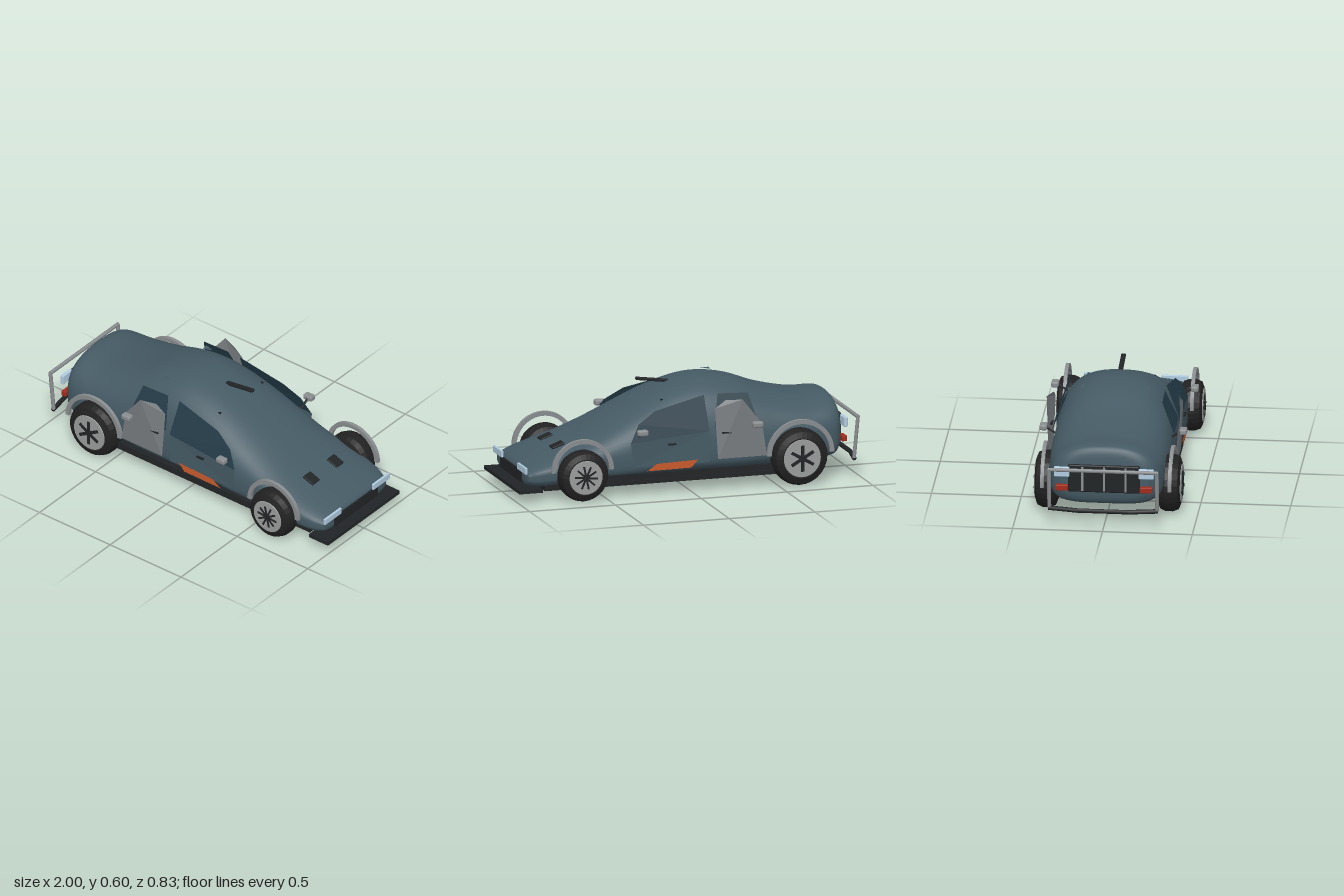
import * as THREE from 'three';
import { RoundedBoxGeometry } from 'three/addons/geometries/RoundedBoxGeometry.js';

const mat = (color, extra = {}) => new THREE.MeshStandardMaterial({ color, ...extra });
const PAINT = mat(0x455a64), BLACK = mat(0x212426), TRIM = mat(0x8a8d8f);
const RIM = mat(0x9a9c9c), TYRE = mat(0x212121, { flatShading: true }), LAMP = mat(0xb0cce0), RED = mat(0xa02c1c);
const sheet = (color) => mat(color, { side: THREE.DoubleSide, flatShading: true });
const PANEL = sheet(0x455a64), GLASS = sheet(0x243b47), GREY = sheet(0x7a7f82), ORANGE = sheet(0xc85a2c);

export function createModel() {
  const car = new THREE.Group();
  car.name = 'car';

  function add(name, geometry, material, x = 0, y = 0, z = 0, parent = car) {
    const mesh = new THREE.Mesh(geometry, material);
    mesh.name = name;
    mesh.position.set(x, y, z);
    parent.add(mesh);
    return mesh;
  }
  const box = (name, m, [w, h, d], [x, y, z], parent) => add(name, new THREE.BoxGeometry(w, h, d), m, x, y, z, parent);
  const rounded = (name, m, [w, h, d], [x, y, z], r, parent) =>
    add(name, new RoundedBoxGeometry(w, h, d, 2, r), m, x, y, z, parent);

  // Thin convex panel given by its corners, mirrored by side
  function panel(name, m, corners, side) {
    const g = new THREE.BufferGeometry();
    g.setAttribute('position', new THREE.Float32BufferAttribute(corners.flatMap(([x, y, z]) => [x, y, z * side]), 3));
    const index = [];
    for (let i = 1; i < corners.length - 1; i++) index.push(0, i, i + 1);
    g.setIndex(index);
    g.computeVertexNormals();
    add(name, g, m);
  }

  // Straight bar between two points
  function bar(name, m, from, to, r, sides = 8) {
    const a = new THREE.Vector3(...from), b = new THREE.Vector3(...to);
    const mesh = add(name, new THREE.CylinderGeometry(r, r, a.distanceTo(b), sides), m);
    mesh.position.addVectors(a, b).multiplyScalar(0.5);
    mesh.quaternion.setFromUnitVectors(new THREE.Vector3(0, 1, 0), b.sub(a).normalize());
  }

  // Smooth body shell lofted along x: [x, roof, underside, waist height, half width]
  const sections = [
    [-0.900, 0.27, 0.27, 0.27, 0],
    [-0.900, 0.37, 0.20, 0.27, 0.21],
    [-0.885, 0.44, 0.14, 0.27, 0.26],
    [-0.840, 0.464, 0.115, 0.26, 0.30],
    [-0.700, 0.465, 0.10, 0.25, 0.325],
    [-0.500, 0.51, 0.10, 0.24, 0.335],
    [-0.320, 0.575, 0.10, 0.22, 0.335],
    [-0.150, 0.60, 0.10, 0.22, 0.335],
    [0.000, 0.58, 0.10, 0.22, 0.335],
    [0.150, 0.53, 0.10, 0.22, 0.335],
    [0.300, 0.46, 0.09, 0.21, 0.335],
    [0.450, 0.385, 0.085, 0.20, 0.33],
    [0.600, 0.315, 0.08, 0.19, 0.33],
    [0.750, 0.26, 0.075, 0.17, 0.33],
    [0.850, 0.225, 0.07, 0.155, 0.315],
    [0.915, 0.195, 0.078, 0.145, 0.29],
    [0.942, 0.17, 0.10, 0.14, 0.25],
    [0.945, 0.14, 0.14, 0.14, 0],
  ];
  const spline = (f) => new THREE.CatmullRomCurve3(sections.map(f), false, 'catmullrom', 0.5);
  const heights = spline(([x, top, low]) => new THREE.Vector3(x, top, low));
  const widths = spline(([x, , , mid, half]) => new THREE.Vector3(x, mid, half));
  const STEPS = 85, RING = 56, pos = [], idx = [];
  for (let i = 0; i <= STEPS; i++) {
    const { x, y: top, z: low } = heights.getPoint(i / STEPS);
    const { y: mid, z: half } = widths.getPoint(i / STEPS);
    for (let j = 0; j < RING; j++) {
      const t = (j / RING) * Math.PI * 2, c = Math.cos(t), s = Math.sin(t);
      const p = s >= 0 ? 2 / 2.5 : 2 / 4;
      const z = half * Math.sign(c) * Math.abs(c) ** p;
      const y = mid + (s >= 0 ? top - mid : low - mid) * Math.abs(s) ** p;
      pos.push(x, y, z);
      if (i === STEPS) continue;
      const a = i * RING + j, d = i * RING + ((j + 1) % RING);
      idx.push(a, a + RING, d, d, a + RING, d + RING);
    }
  }
  const shell = new THREE.BufferGeometry();
  shell.setAttribute('position', new THREE.Float32BufferAttribute(pos, 3));
  shell.setIndex(idx);
  shell.computeVertexNormals();
  add('bodyShell', shell, PAINT);

  // Underside, nose and roof
  box('floorPan', BLACK, [1.42, 0.045, 0.56], [0.13, 0.08, 0]);
  box('frontSplitter', BLACK, [0.135, 0.02, 0.64], [0.9325, 0.07, 0]);
  rounded('frontGrille', BLACK, [0.04, 0.07, 0.39], [0.93, 0.13, 0], 0.008);
  rounded('roofFin', BLACK, [0.19, 0.016, 0.026], [0.125, 0.578, 0], 0.004).rotation.z = 0.14;

  // Wheel: bevelled tyre, rim disc and dark spokes
  function wheel(name, x, r, spokes, side) {
    const g = new THREE.Group();
    g.name = name;
    g.position.set(x, r + 0.004, 0.342 * side);
    if (side < 0) g.rotation.y = Math.PI;
    car.add(g);
    const profile = [[0, -0.062], [r * 0.72, -0.062], [r * 0.92, -0.05], [r, -0.02], [r, 0.02], [r * 0.92, 0.05],
      [r * 0.72, 0.062], [0, 0.058]].map(([a, b]) => new THREE.Vector2(a, b));
    add('tyre', new THREE.LatheGeometry(profile, 28), TYRE, 0, 0, 0, g).rotation.x = Math.PI / 2;
    add('rim', new THREE.CylinderGeometry(r * 0.66, r * 0.7, 0.012, 32), RIM, 0, 0, 0.06, g).rotation.x = Math.PI / 2;
    add('hub', new THREE.CylinderGeometry(r * 0.14, r * 0.14, 0.012, 16), BLACK, 0, 0, 0.067, g).rotation.x = Math.PI / 2;
    const len = r * 0.46, thick = spokes > 6 ? 0.01 : 0.018;
    for (let k = 0; k < spokes; k++) {
      const a = (k / spokes) * Math.PI * 2 + Math.PI / 6;
      box('spoke', BLACK, [len, thick, 0.01], [Math.cos(a) * len / 2, Math.sin(a) * len / 2, 0.066], g).rotation.z = a;
    }
  }

  // Half-ring wheel arch trim
  function arch(name, x, y, r, side) {
    const shape = new THREE.Shape();
    shape.absarc(0, 0, r, 0, Math.PI, false);
    shape.absarc(0, 0, r - 0.025, Math.PI, 0, true);
    const g = new THREE.ExtrudeGeometry(shape, { depth: 0.02, bevelEnabled: false, curveSegments: 28 });
    add(name, g, TRIM, x, y, side > 0 ? 0.345 : -0.365);
  }

  for (const s of [1, -1]) {
    const tag = s > 0 ? 'left' : 'right';
    wheel(tag + 'RearWheel', -0.62, 0.16, 6, s);
    wheel(tag + 'FrontWheel', 0.64, 0.143, 10, s);
    arch(tag + 'RearArch', -0.625, 0.18, 0.195, s);
    arch(tag + 'FrontArch', 0.645, 0.175, 0.18, s);

    // Windows and doors
    panel(tag + 'RearWindow', GLASS, [[-0.39, 0.36, 0.34], [-0.13, 0.36, 0.34], [-0.17, 0.537, 0.268], [-0.345, 0.53, 0.27]], s);
    panel(tag + 'FrontWindow', GLASS, [[-0.1, 0.345, 0.343], [0.36, 0.305, 0.345], [0.305, 0.405, 0.315],
      [0.2, 0.47, 0.29], [-0.09, 0.535, 0.268]], s);
    panel(tag + 'RearDoor', GREY, [[-0.28, 0.52, 0.38], [-0.4, 0.37, 0.36], [-0.43, 0.185, 0.355], [-0.145, 0.185, 0.355],
      [-0.13, 0.47, 0.345], [-0.19, 0.515, 0.348]], s);
    panel(tag + 'FrontDoor', PANEL, [[-0.1, 0.345, 0.343], [-0.1, 0.17, 0.345], [0.34, 0.17, 0.342], [0.36, 0.305, 0.345]], s);
    panel(tag + 'SillFlash', ORANGE, [[-0.03, 0.19, 0.352], [0.01, 0.147, 0.352], [0.265, 0.145, 0.352], [0.21, 0.183, 0.352]], s);
    box(tag + 'RearDoorHandle', BLACK, [0.055, 0.008, 0.012], [-0.195, 0.333, 0.36 * s]);
    box(tag + 'FrontDoorHandle', BLACK, [0.045, 0.008, 0.012], [0.12, 0.287, 0.35 * s]);

    // Mirrors on short arms
    for (const x of [-0.365, 0.305]) {
      rounded(tag + 'Mirror', TRIM, [0.06, 0.033, 0.042], [x, 0.374, 0.389 * s], 0.01);
      bar(tag + 'MirrorArm', BLACK, [x, 0.37, 0.375 * s], [x, 0.335, 0.32 * s], 0.006);
    }

    // Side sills
    box(tag + 'UpperSill', BLACK, [1.0, 0.03, 0.03], [0.01, 0.113, 0.325 * s]);
    box(tag + 'LowerSill', BLACK, [1.02, 0.022, 0.04], [0.01, 0.076, 0.295 * s]);

    // Lamps, bonnet vents and roof fins
    rounded(tag + 'Headlight', LAMP, [0.014, 0.038, 0.15], [0.95, 0.18, 0.215 * s], 0.004);
    rounded(tag + 'ReversingLight', LAMP, [0.022, 0.055, 0.085], [-0.916, 0.32, 0.235 * s], 0.004);
    rounded(tag + 'TailLight', RED, [0.03, 0.032, 0.07], [-0.91, 0.225, 0.235 * s], 0.004);
    rounded(tag + 'BonnetVent', BLACK, [0.075, 0.014, 0.065], [0.713, 0.272, 0.106 * s], 0.004).rotation.z = -0.36;
    panel(tag + 'RoofFin', PANEL, [[-0.27, 0.575, 0.2], [-0.27, 0.572, 0.165], [-0.21, 0.578, 0.18]], s);
    box(tag + 'RoofTab', BLACK, [0.015, 0.008, 0.012], [0.13, 0.505, 0.186 * s]);

    // Rear guard post and angled lower bar
    bar(tag + 'GuardPost', TRIM, [-0.978, 0.355, 0.3 * s], [-0.955, 0.12, 0.3 * s], 0.011);
    bar(tag + 'GuardLowerBar', BLACK, [-0.955, 0.118, 0.305 * s], [-0.985, 0.118, 0.14 * s], 0.013);
  }

  // Rear guard and back panel
  bar('guardTopBar', TRIM, [-0.978, 0.352, -0.305], [-0.978, 0.352, 0.305], 0.011);
  bar('guardCentreBar', BLACK, [-0.985, 0.118, -0.145], [-0.985, 0.118, 0.145], 0.013);
  rounded('rearGrille', BLACK, [0.03, 0.16, 0.4], [-0.898, 0.28, 0], 0.008);
  for (const z of [-0.12, 0, 0.12]) box('rearGrilleSlat', TRIM, [0.008, 0.14, 0.012], [-0.915, 0.28, z]);

  return car;
}
